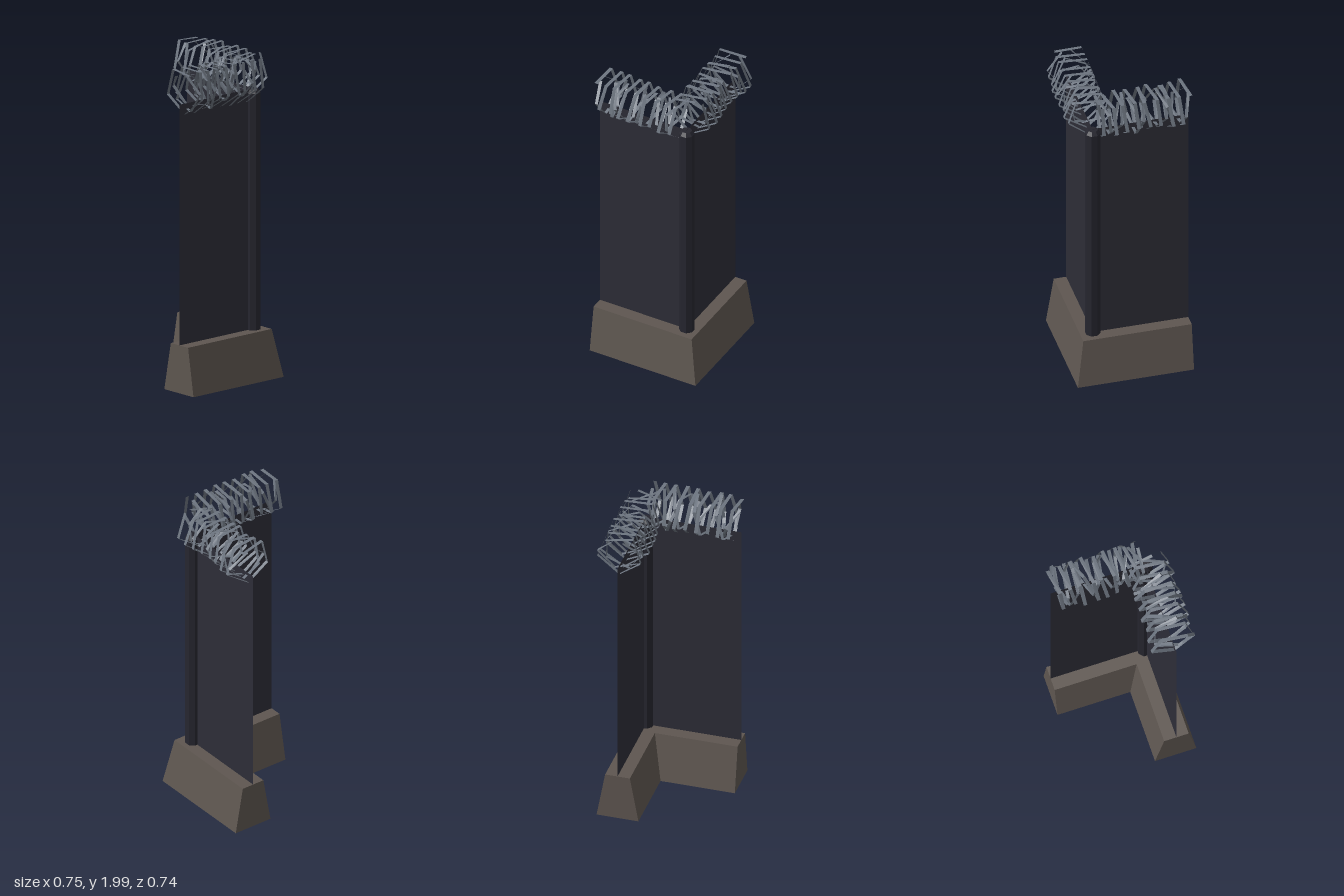
import * as THREE from 'three';

const flat = (geometry) => {
  const g = geometry.index ? geometry.toNonIndexed() : geometry;
  g.computeVertexNormals();
  return g;
};

const mat = (name, color, side = THREE.FrontSide) => {
  const m = new THREE.MeshStandardMaterial({ color, side });
  m.name = name;
  return m;
};

// Small seeded generator, returns -1..1
const seeded = (seed) => () => {
  seed = (seed * 16807) % 2147483647;
  return (seed / 2147483647) * 2 - 1;
};

const HEIGHT = 0.295, CENTRE = 0.225, PANEL_TOP = 1.775, END = -0.367;

// L-shaped concrete footing with sloping long sides and upright ends
function footingGeometry() {
  const corners = [[END, 0.35], [0.355, 0.35], [0.355, END], [0.095, END], [0.095, 0.09], [END, 0.09]];
  const shape = new THREE.Shape(corners.map(([x, z]) => new THREE.Vector2(x, -z)));
  const g = new THREE.ExtrudeGeometry(shape, { depth: HEIGHT, bevelEnabled: false });
  g.rotateX(-Math.PI / 2);
  const taper = (v) => (v > 0.3 ? 0.302 : v > 0 ? 0.148 : v);
  const p = g.attributes.position;
  for (let i = 0; i < p.count; i++) {
    if (p.getY(i) > HEIGHT / 2) {
      p.setX(i, taper(p.getX(i)));
      p.setZ(i, taper(p.getZ(i)));
    }
  }
  return flat(g);
}

// Angular ribbon wound around the axis of one wall; place() maps (along, y, across)
function ribbonGeometry({ turns, radius, hand, phase, jitter, width, seed }, place) {
  const rnd = seeded(seed), sides = 5, count = Math.round(turns * sides);
  const pts = [], radials = [];
  for (let i = 0; i <= count; i++) {
    const angle = Math.PI * 0.3 + phase + (hand * i * Math.PI * 2) / sides;
    const r = radius + rnd() * jitter;
    const along = THREE.MathUtils.lerp(-0.355, 0.195, i / count) + rnd() * jitter * 0.8;
    const radial = new THREE.Vector3(0, Math.sin(angle), Math.cos(angle));
    radials.push(radial);
    pts.push(new THREE.Vector3(along, 1.855, 0).addScaledVector(radial, r));
  }
  // Edge points lie across the direction of travel
  const rails = pts.map((p, i) => {
    const dir = pts[Math.min(i + 1, count)].clone().sub(pts[Math.max(i - 1, 0)]).normalize();
    const side = dir.cross(radials[i]).normalize().multiplyScalar(width / 2);
    return [p.clone().add(side), p.clone().sub(side)];
  });
  const out = [];
  for (let i = 0; i < count; i++) {
    const [a, b] = rails[i], [c, d] = rails[i + 1];
    for (const v of [a, b, c, b, d, c]) out.push(...place(v.x, v.y, v.z));
  }
  const g = new THREE.BufferGeometry();
  g.setAttribute('position', new THREE.Float32BufferAttribute(out, 3));
  return flat(g);
}

export function createModel() {
  const model = new THREE.Group();
  model.name = 'cornerFence';
  const concrete = mat('concrete', 0x5e5650);
  const panelPaint = mat('panelPaint', 0x2d2d37, THREE.DoubleSide);
  const postPaint = mat('postPaint', 0x26262f);
  const steel = mat('steel', 0x6c747f, THREE.DoubleSide);

  const add = (name, geometry, material, parent = model) => {
    const mesh = new THREE.Mesh(geometry, material);
    mesh.name = name;
    parent.add(mesh);
    return mesh;
  };

  add('footing', footingGeometry(), concrete);

  // Eight-sided corner post with a chamfered top, reaching through the footing
  const R = 0.0475;
  const profile = [[0, -0.001], [R, -0.001], [R, 1.75], [R * 0.65, 1.772], [0, 1.772]];
  const post = add('cornerPost', flat(new THREE.LatheGeometry(
    profile.map(([x, y]) => new THREE.Vector2(x, y)), 8, Math.PI / 8)), postPaint);
  post.position.set(CENTRE, 0, CENTRE - 0.002);

  // Thin wall sheets meeting at the post
  const length = CENTRE - END, bottom = HEIGHT - 0.01;
  for (const [name, turn] of [['frontPanel', 0], ['leftPanel', Math.PI / 2]]) {
    const panel = add(name, new THREE.PlaneGeometry(length, PANEL_TOP - bottom), panelPaint);
    const mid = (CENTRE + END) / 2;
    panel.rotation.y = turn;
    panel.position.set(turn ? CENTRE : mid, (PANEL_TOP + bottom) / 2, turn ? mid : CENTRE);
  }

  // Tangled coils of ribbon wire along both walls
  const strands = [
    { turns: 8, radius: 0.143, hand: 1, phase: 0, jitter: 0.013, width: 0.022 },
    { turns: 4, radius: 0.125, hand: -1, phase: 0.3, jitter: 0.02, width: 0.02 },
    { turns: 3, radius: 0.115, hand: 1, phase: 0.9, jitter: 0.02, width: 0.02 },
  ];
  const walls = [
    ['frontWire', (a, y, c) => [a, Math.min(y, 2), CENTRE + c]],
    ['leftWire', (a, y, c) => [CENTRE + c, Math.min(y, 2), a]],
  ];
  walls.forEach(([name, place], w) => {
    const coil = new THREE.Group();
    coil.name = name;
    model.add(coil);
    strands.forEach((s, i) =>
      add(`${name}Strand${i + 1}`, ribbonGeometry({ ...s, seed: 4711 + 977 * w + 131 * i }, place), steel, coil));
  });

  return model;
}
